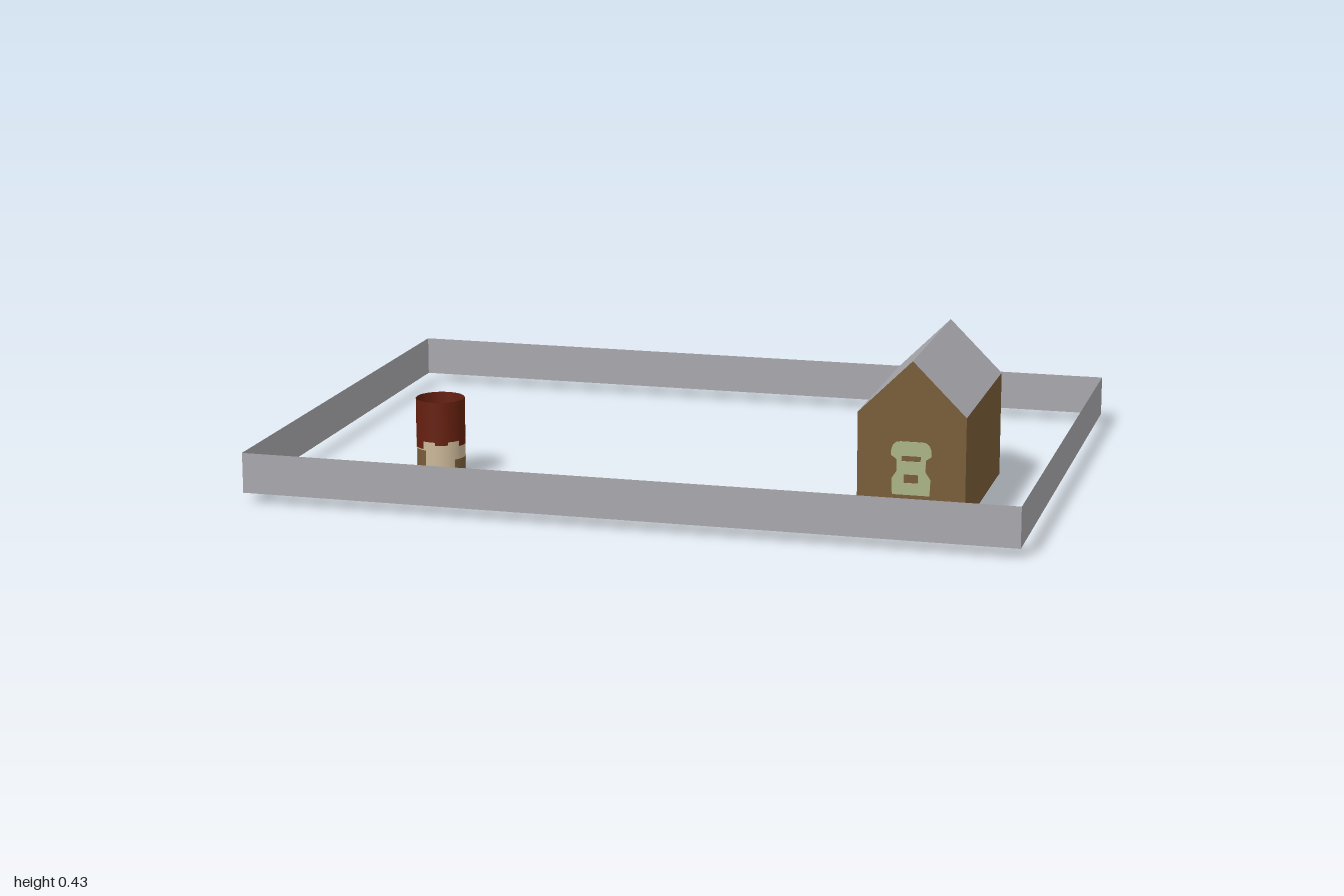
import * as THREE from 'three';

const mat = (name, color) =>
  new THREE.MeshStandardMaterial({ name, color, side: THREE.DoubleSide });

export function createModel() {
  const stone = mat('stone grey', 0xa8a7ac);
  const timber = mat('timber brown', 0x785c37);
  const glass = mat('pale green', 0xa9b485);
  const rust = mat('rust red', 0x66200f);
  const cream = mat('cream', 0xcdb899);
  const model = new THREE.Group();

  const add = (parent, name, geometry, material, x = 0, y = 0, z = 0, ry = 0) => {
    const mesh = new THREE.Mesh(geometry, material);
    mesh.name = name;
    mesh.position.set(x, y, z);
    mesh.rotation.y = ry;
    parent.add(mesh);
    return mesh;
  };
  const group = (name) => {
    const g = new THREE.Group();
    g.name = name;
    model.add(g);
    return g;
  };

  // Enclosing wall: four thin sheets facing outward
  const fence = group('boundaryWall');
  const H = 0.105, Y = 0.0775, D = 0.705;
  for (const s of [1, -1]) {
    const turn = s > 0 ? 0 : Math.PI;
    add(fence, s > 0 ? 'frontWall' : 'backWall',
      new THREE.PlaneGeometry(2, H), stone, 0, Y, s * D, turn);
    add(fence, s > 0 ? 'leftWall' : 'rightWall',
      new THREE.PlaneGeometry(2 * D, H), stone, s, Y, 0, s * Math.PI / 2);
  }

  // House: open-bottomed shell with a pitched roof
  const house = group('house');
  house.position.set(0.697, 0.025, 0.275);
  const w = 0.136, d = 0.256, eave = 0.27, ridge = 0.405;
  const gable = new THREE.Shape([
    [-w, 0], [w, 0], [w, eave], [0, ridge], [-w, eave],
  ].map(([x, y]) => new THREE.Vector2(x, y)));
  const slope = Math.hypot(w, ridge - eave);
  for (const s of [1, -1]) {
    add(house, s > 0 ? 'frontGable' : 'backGable',
      new THREE.ShapeGeometry(gable), timber, 0, 0, s * d, s > 0 ? 0 : Math.PI);
    add(house, 'houseSide', new THREE.PlaneGeometry(2 * d, eave), timber,
      s * w, eave / 2, 0, s * Math.PI / 2);
    const pitch = new THREE.PlaneGeometry(slope, 2 * d);
    pitch.rotateX(-Math.PI / 2);
    pitch.rotateZ(-s * Math.atan2(ridge - eave, w));
    add(house, 'roofSlope', pitch, stone, s * w / 2, (eave + ridge) / 2, 0);
  }

  // Scalloped windows, showing on both faces of the wall
  const pane = new THREE.Shape();
  pane.moveTo(-0.047, 0);
  pane.lineTo(0.047, 0);
  pane.lineTo(0.049, 0.04);
  pane.lineTo(0.036, 0.06);
  pane.lineTo(0.037, 0.09);
  pane.lineTo(0.051, 0.1);
  pane.quadraticCurveTo(0.052, 0.135, 0.028, 0.135);
  pane.lineTo(-0.028, 0.135);
  pane.quadraticCurveTo(-0.052, 0.135, -0.051, 0.1);
  pane.lineTo(-0.037, 0.09);
  pane.lineTo(-0.036, 0.06);
  pane.lineTo(-0.049, 0.04);
  const hole = (x0, x1, y0, y1) => pane.holes.push(new THREE.Path([
    new THREE.Vector2(x0, y0), new THREE.Vector2(x0, y1),
    new THREE.Vector2(x1, y1), new THREE.Vector2(x1, y0),
  ]));
  hole(-0.024, 0.024, 0.085, 0.099);
  hole(-0.018, 0.018, 0.03, 0.052);
  const paneGeo = new THREE.ExtrudeGeometry(pane, { depth: 0.006, bevelEnabled: false, curveSegments: 4 });
  paneGeo.translate(0, 0, -0.003);
  add(house, 'frontWindow', paneGeo, glass, 0, 0.067, d);
  add(house, 'backWindow', paneGeo, glass, 0, 0.067, -d, Math.PI);
  for (const z of [-0.115, 0.11])
    add(house, 'sideWindow', paneGeo, glass, -w, 0.067, z, -Math.PI / 2);

  // Round tower: an open tube in two colours
  const tower = group('tower');
  tower.position.set(-0.595, 0, 0.335);
  const R = 0.064, split = 0.108, top = 0.215, deg = Math.PI / 180;
  const band = (name, material, r, y0, y1, mid = 0, span = 360) =>
    add(tower, name, new THREE.CylinderGeometry(r, r, y1 - y0, span === 360 ? 20 : 3, 1, true,
      (mid - span / 2) * deg, span * deg), material, 0, (y0 + y1) / 2, 0);
  band('towerBase', cream, R, 0, split);
  band('towerTop', rust, R, split, top);

  // Ragged lower edge of the red band and the doorways, on both faces of the tube
  for (const r of [R - 0.0015, R + 0.0015]) {
    for (let i = 0; i < 6; i++)
      band('redEdge', rust, r, split - 0.008 - 0.006 * (i % 3), split + 0.002, i * 60 + 20, 30);
    band('doorway', timber, r, 0.005, 0.085, -35, 34);
    band('doorway', timber, r, 0, 0.06, 72, 40);
    band('doorway', timber, r, 0.005, 0.055, -108, 34);
  }
  return model;
}
